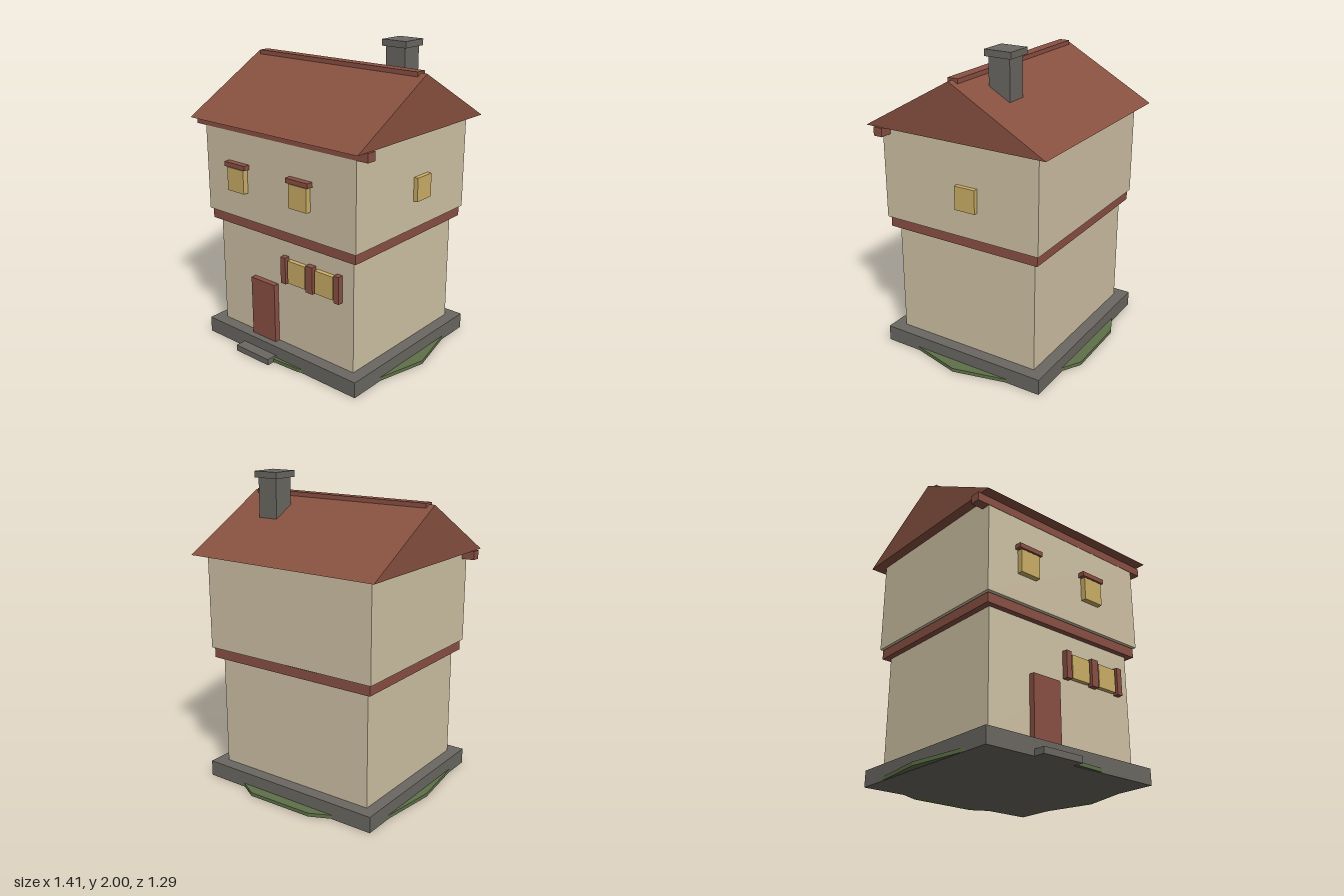
import * as THREE from 'three';

export function createModel() {
  const model = new THREE.Group();
  const material = (name, color) => {
    const m = new THREE.MeshStandardMaterial({ color });
    m.name = name;
    return m;
  };
  const plaster = material('plaster', 0xd0c2a5);
  const roofTile = material('roofTile', 0x885140);
  const redWood = material('redWood', 0x8a5043);
  const stone = material('stone', 0x6b6862);
  const glass = material('warmGlass', 0xccaf67);
  const grass = material('grass', 0x5f7049);

  const add = (name, geometry, mat) => {
    const mesh = new THREE.Mesh(geometry, mat);
    mesh.name = name;
    model.add(mesh);
    return mesh;
  };
  // Box given by its extents on each axis
  const box = (name, mat, [x0, x1], [y0, y1], [z0, z1]) =>
    add(name, new THREE.BoxGeometry(x1 - x0, y1 - y0, z1 - z0), mat)
      .position.set((x0 + x1) / 2, (y0 + y1) / 2, (z0 + z1) / 2);

  // Irregular ten-sided grass patch
  const outline = [[0.704, 0], [0.605, -0.42], [0.21, -0.645], [-0.24, -0.638], [-0.64, -0.45],
    [-0.697, 0], [-0.645, 0.42], [-0.21, 0.61], [0.17, 0.585], [0.6, 0.42]];
  const patch = new THREE.Shape(outline.map(([x, z]) => new THREE.Vector2(x, -z)));
  const patchGeometry = new THREE.ExtrudeGeometry(patch, { depth: 0.023, bevelEnabled: false });
  patchGeometry.rotateX(-Math.PI / 2).translate(0, 0.002, 0);
  add('grassPatch', patchGeometry, grass);

  // Stone base and doorstep
  box('foundation', stone, [-0.648, 0.621], [0, 0.103], [-0.575, 0.575]);
  box('doorstep', stone, [-0.318, -0.03], [0, 0.04], [0.5, 0.647]);

  // Two storeys with a timber band between
  box('lowerWalls', plaster, [-0.572, 0.543], [0.1, 0.9], [-0.495, 0.495]);
  box('storeyBand', redWood, [-0.611, 0.585], [0.83, 0.891], [-0.534, 0.532]);
  box('upperWalls', plaster, [-0.624, 0.599], [0.897, 1.505], [-0.547, 0.547]);

  // Gabled roof, extruded along x
  const gable = new THREE.Shape([[-0.625, 1.503], [0.618, 1.503], [0, 1.85]]
    .map(([z, y]) => new THREE.Vector2(-z, y)).reverse());
  const roof = new THREE.ExtrudeGeometry(gable, { depth: 1.35, bevelEnabled: false });
  roof.rotateY(Math.PI / 2).translate(-0.687, 0, 0);
  add('roof', roof, roofTile);
  box('ridgeBeam', redWood, [-0.648, 0.622], [1.832, 1.86], [-0.037, 0.033]);
  box('eaveBeam', redWood, [-0.706, 0.679], [1.45, 1.505], [0.487, 0.549]);

  // Chimney
  box('chimneyStack', stone, [0.286, 0.426], [1.6, 1.965], [-0.25, -0.11]);
  box('chimneyCap', stone, [0.267, 0.443], [1.96, 2], [-0.268, -0.092]);

  // Door and lower windows with shutters
  box('door', redWood, [-0.276, -0.072], [0.1, 0.5], [0.48, 0.532]);
  for (const x of [0.113, 0.336]) {
    box('lowerWindow', glass, [x - 0.071, x + 0.071], [0.55, 0.7], [0.48, 0.525]);
  }
  for (const [x, w] of [[0.009, 0.04], [0.225, 0.054], [0.439, 0.04]]) {
    box('shutter', redWood, [x - w / 2, x + w / 2], [0.54, 0.715], [0.48, 0.532]);
  }

  // Upper windows with lintels, and one in the left side wall
  for (const x of [-0.333, 0.187]) {
    box('upperWindow', glass, [x - 0.071, x + 0.071], [1.075, 1.225], [0.53, 0.583]);
    box('lintel', redWood, [x - 0.088, x + 0.088], [1.23, 1.26], [0.53, 0.589]);
  }
  box('sideWindow', glass, [0.58, 0.628], [1.075, 1.225], [-0.136, 0.005]);

  return model;
}
